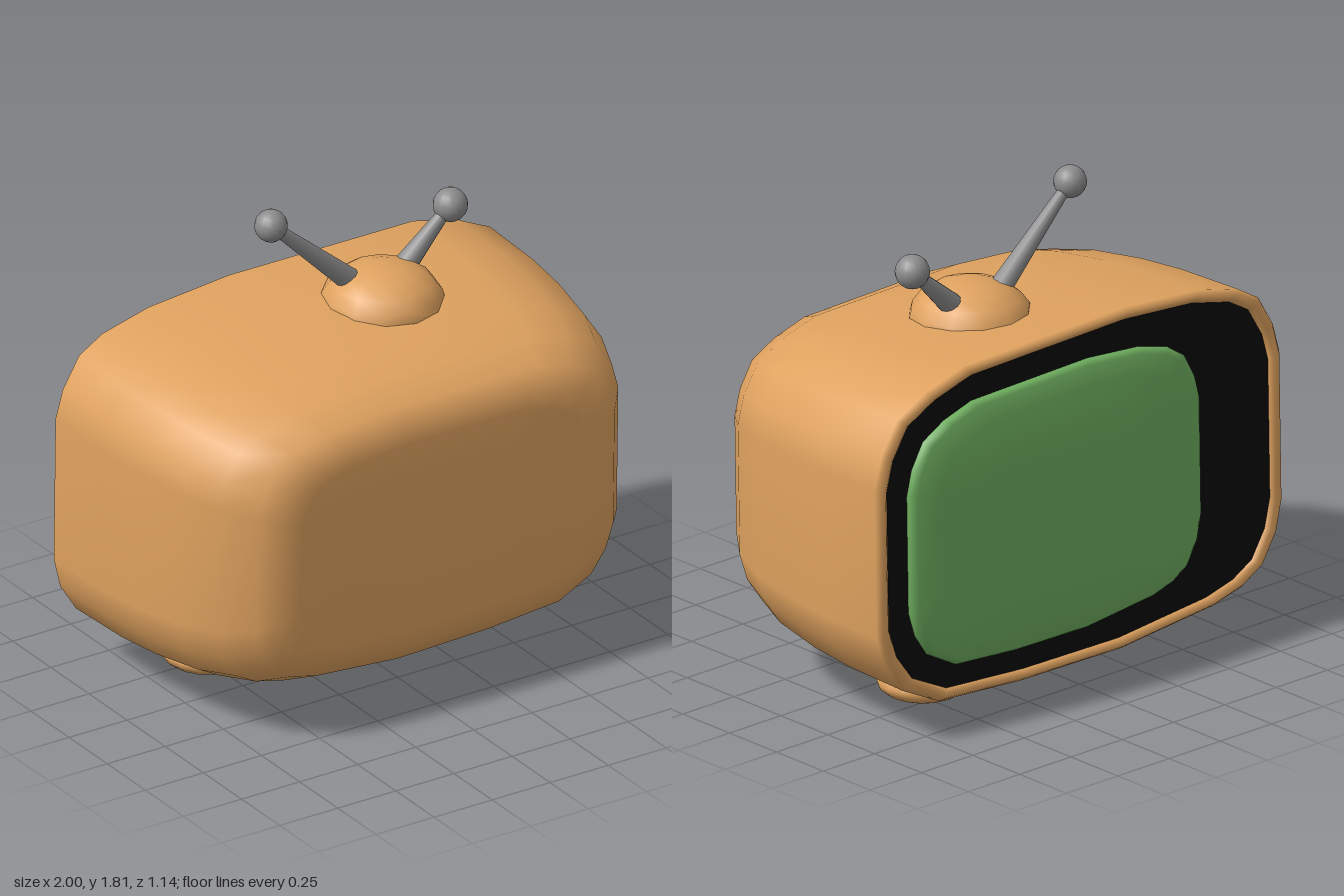
import * as THREE from 'three';

const mat = (color, side = THREE.FrontSide) => new THREE.MeshStandardMaterial({ color, side });
const orange = mat(0xdfa25f, THREE.DoubleSide);
const green = mat(0x70b060);
const black = mat(0x0a0a0a);
const grey = mat(0x8c8c8c);

// Slightly uneven rounded outline, counter-clockwise, centred on the cabinet axis
const MID_Y = 0.74;
const outline = [
  [1, 0.45], [1, 1.02], [0.965, 1.14], [0.885, 1.26], [0.74, 1.33], [0.55, 1.38],
  [0.15, 1.385], [-0.25, 1.39], [-0.6, 1.36], [-0.8, 1.31], [-0.9, 1.25], [-0.97, 1.13],
  [-1, 1.02], [-1, 0.45], [-0.97, 0.33], [-0.9, 0.22], [-0.8, 0.165], [-0.66, 0.13],
  [-0.2, 0.09], [0.3, 0.1], [0.7, 0.13], [0.88, 0.22], [0.96, 0.33],
].map(([x, y]) => [x, y - MID_Y]);

// Skin the outline through sections [z, scaleX, scaleY]; the whole cabinet leans a little
function loft(sections, cx = 0, cy = MID_Y) {
  const n = outline.length, pos = [], index = [];
  for (const [z, sx, sy] of sections) {
    for (const [ox, oy] of outline) {
      const x = cx + ox * sx, y = cy + oy * sy;
      pos.push(x, y, z - 0.015 * x + 0.02 * (y - MID_Y));
    }
  }
  for (let i = 0; i < sections.length - 1; i++) {
    for (let j = 0; j < n; j++) {
      const a = i * n + j, b = i * n + (j + 1) % n;
      if (sections[i][1] > 0) index.push(a, b, a + n);
      if (sections[i + 1][1] > 0) index.push(b, b + n, a + n);
    }
  }
  const g = new THREE.BufferGeometry();
  g.setAttribute('position', new THREE.Float32BufferAttribute(pos, 3));
  g.setIndex(index);
  g.computeVertexNormals();
  return g;
}

export function createModel() {
  const model = new THREE.Group();
  const add = (name, geometry, material, x = 0, y = 0, z = 0) => {
    const mesh = new THREE.Mesh(geometry, material);
    mesh.name = name;
    mesh.position.set(x, y, z);
    model.add(mesh);
    return mesh;
  };

  // Cabinet: recess wall, rim, then the shell tapering to a flat closed end
  add('cabinet', loft([
    [-0.47, 0.94, 0.93], [-0.495, 0.945, 0.935], [-0.506, 0.96, 0.955], [-0.507, 0.985, 0.98],
    [-0.49, 1, 1], [-0.2, 0.995, 0.985], [0, 0.975, 0.965], [0.22, 0.935, 0.925],
    [0.38, 0.87, 0.875], [0.5, 0.775, 0.79], [0.54, 0.7, 0.69], [0.555, 0.62, 0.59],
    [0.556, 0.3, 0.3], [0.556, 0, 0],
  ]), orange);

  // Dark panel inside the rim
  add('screenSurround', loft([[-0.49, 0, 0], [-0.49, 0.947, 0.938]]), black);

  // Bulging screen, set off to one side
  add('screen', loft([
    [-0.562, 0, 0], [-0.562, 0.25, 0.27], [-0.558, 0.4, 0.45], [-0.538, 0.6, 0.66],
    [-0.52, 0.69, 0.76], [-0.505, 0.715, 0.785], [-0.47, 0.72, 0.79],
  ], 0.125, 0.735), green);

  // Feet
  for (const [name, x] of [['rightFoot', -0.52], ['leftFoot', 0.5]]) {
    add(name, new THREE.SphereGeometry(0.17, 16, 10), orange, x, 0.075, -0.21).scale.y = 0.42;
  }

  // Antenna dome
  add('antennaDome', new THREE.SphereGeometry(0.23, 12, 10), orange, 0.15, 1.335, -0.08).scale.y = 0.68;

  // Antennas: tapered rod with a ball on the tip
  const antennas = [
    ['rightAntenna', new THREE.Vector3(0.05, 1.43, -0.12), new THREE.Vector3(-0.305, 1.757, -0.115), 0.061],
    ['leftAntenna', new THREE.Vector3(0.27, 1.43, -0.12), new THREE.Vector3(0.475, 1.62, -0.127), 0.064],
  ];
  for (const [name, base, tip, radius] of antennas) {
    const dir = tip.clone().sub(base);
    const rod = add(name + 'Rod', new THREE.CylinderGeometry(0.02, 0.044, dir.length(), 12), grey);
    rod.position.copy(base).addScaledVector(dir, 0.5);
    rod.quaternion.setFromUnitVectors(new THREE.Vector3(0, 1, 0), dir.normalize());
    add(name + 'Ball', new THREE.SphereGeometry(radius, 16, 12), grey, tip.x, tip.y, tip.z);
  }
  return model;
}
